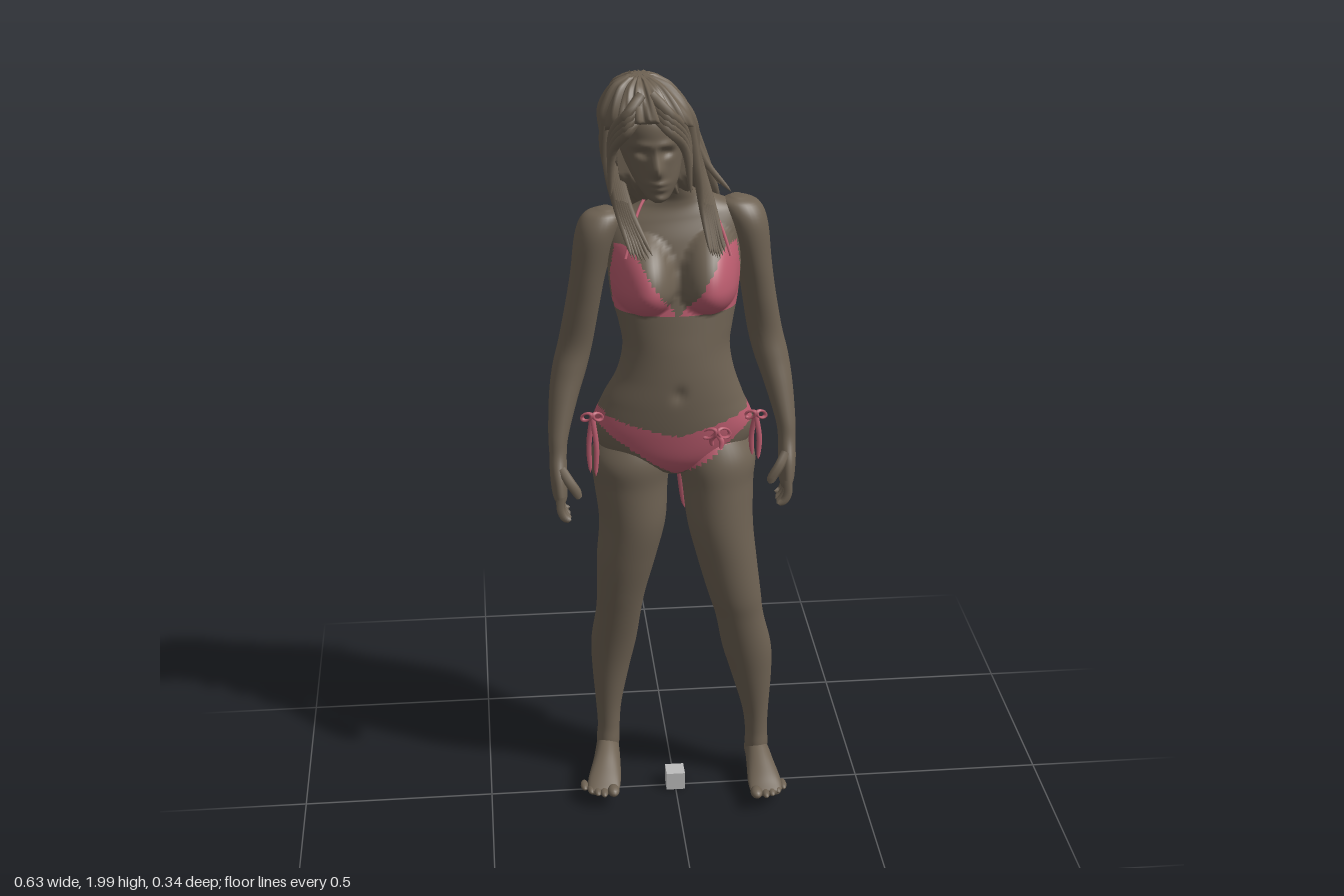
import * as THREE from 'three';

const skin = new THREE.MeshStandardMaterial({ color: 0x6e6253 });
skin.name = 'brown';
const pink = new THREE.MeshStandardMaterial({ color: 0xba5c6e });
pink.name = 'pink';
const grey = new THREE.MeshStandardMaterial({ color: 0xbcbcbc });
grey.name = 'grey';

const V = (x, y, z) => new THREE.Vector3(x, y, z);
const bump = (x, y, cx, cy, rx, ry) => Math.exp(-(((x - cx) / rx) ** 2) - (((y - cy) / ry) ** 2));
const step = THREE.MathUtils.smoothstep;
let seed = 7;
const rand = () => (seed = (seed * 16807) % 2147483647) / 2147483647;

// Closed skin over elliptical rings [x, y, z, halfWidth, halfDepth].
// rule moves vertices, isPink chooses the swimwear faces.
function loft(name, rings, { rows = 60, seg = 40, axis = 'y', rule, isPink } = {}) {
  const mid = new THREE.CatmullRomCurve3(rings.map(r => V(r[0], r[1], r[2])), false, 'catmullrom');
  const size = new THREE.CatmullRomCurve3(rings.map(r => V(r[3], r[4], 0)), false, 'catmullrom');
  const pts = [], tris = [];
  for (let i = 0; i <= rows + 2; i++) {
    const t = Math.min(Math.max((i - 1) / rows, 0), 1);
    const c = mid.getPoint(t), s = size.getPoint(t);
    const k = i === 0 || i === rows + 2 ? 0.001 : 1;
    for (let j = 0; j < seg; j++) {
      const a = (j / seg) * Math.PI * 2, u = Math.cos(a), w = Math.sin(a);
      const p = c.clone();
      p.x += u * s.x * k;
      p[axis === 'y' ? 'z' : 'y'] += w * s.y * k;
      if (rule) rule(p, w, a);
      pts.push(p);
      if (i <= rows + 1) {
        const q = i * seg + j, r = i * seg + (j + 1) % seg;
        tris.push([q, q + seg, r], [r, q + seg, r + seg]);
      }
    }
  }
  // Turn the faces outward whichever way the rings run
  let volume = 0;
  for (const [a, b, c] of tris) volume += pts[a].dot(pts[b].clone().cross(pts[c]));
  if (volume < 0) tris.forEach(t => t.reverse());
  const parts = [[], []];
  for (const t of tris) {
    const m = V(0, 0, 0);
    t.forEach(k => m.addScaledVector(pts[k], 1 / 3));
    parts[isPink && isPink(m) ? 1 : 0].push(...t);
  }
  const g = new THREE.BufferGeometry().setFromPoints(pts);
  g.setIndex([...parts[0], ...parts[1]]);
  g.addGroup(0, parts[0].length, 0);
  g.addGroup(parts[0].length, parts[1].length, 1);
  g.computeVertexNormals();
  const mesh = new THREE.Mesh(g, isPink ? [skin, pink] : skin);
  mesh.name = name;
  return mesh;
}

// Tapered tube for hair locks, fingers and strings
function strand(name, points, r, mat = skin, power = 2, n = 12) {
  const curve = new THREE.CatmullRomCurve3(points.map(p => V(...p)));
  const g = new THREE.TubeGeometry(curve, n, r, 7, false), pos = g.attributes.position;
  for (let i = 0; i < pos.count; i++) {
    const u = Math.floor(i / 8) / n, c = curve.getPointAt(u);
    const p = V(0, 0, 0).fromBufferAttribute(pos, i).lerp(c, 1 - Math.sqrt(1 - u ** power));
    pos.setXYZ(i, p.x, p.y, p.z);
  }
  const mesh = new THREE.Mesh(g, mat);
  mesh.name = name;
  return mesh;
}

// Swimwear areas
function briefs(p) {
  const ax = Math.abs(p.x);
  if (p.z < -0.04) return p.y < 1.155 && p.y > 0.95 + Math.max(0, p.z + 0.13) * 1.9;
  if (ax > 0.18 && Math.abs(p.y - 1.125) < 0.012) return true;
  return p.y < 1.085 + 0.25 * ax && p.y > 0.955 + 0.75 * ax;
}
function swimwear(p) {
  if (p.y < 1.2) return briefs(p);
  if (Math.abs(p.y - 1.42) < 0.006 && p.z < 0.06) return true;
  const t = (p.y - 1.4) / 0.17;
  return p.z > 0 && t > 0 && t < 1 && Math.abs(Math.abs(p.x) - 0.09 - 0.04 * t) < 0.066 * (1 - t) + 0.02;
}

// Bust, buttocks, spine and the shoulder slope
function shapeTorso(p, w) {
  const { x, y } = p;
  if (w > 0) {
    for (const s of [-1, 1]) {
      const d = Math.hypot((x - s * 0.085) / 0.078, (y - 1.475) / (y < 1.475 ? 0.075 : 0.13));
      p.z += 0.078 * Math.max(0, 1 - d * d) ** 0.8 * Math.min(1, w * 2);
    }
    p.z -= 0.008 * bump(x, y, 0, 1.2, 0.015, 0.02) * w;
  } else {
    const f = Math.min(1, -w * 1.6);
    for (const s of [-1, 1]) p.z -= 0.046 * f * bump(x, y, s * 0.085, 1.045, 0.075, 0.075);
    p.z += f * (0.02 * bump(x, y, 0, 1.02, 0.014, 0.1) + 0.012 * bump(x, y, 0, 1.35, 0.025, 0.17));
  }
  p.y += 0.1 * x * step(y, 1.5, 1.64);
}

function makeArm(s, dx, dy) {
  const g = new THREE.Group();
  g.name = s > 0 ? 'leftArm' : 'rightArm';
  const m = ([x, y, z, ...rest]) => [s * (x + dx), y + dy, z, ...rest];
  g.add(loft('armAndPalm', [
    [0.155, 1.668, -0.037, 0.015, 0.02], [0.163, 1.65, -0.037, 0.048, 0.048], [0.18, 1.6, -0.037, 0.052, 0.062],
    [0.2, 1.5, -0.045, 0.044, 0.057], [0.215, 1.41, -0.058, 0.043, 0.052], [0.233, 1.31, -0.07, 0.044, 0.045],
    [0.25, 1.24, -0.066, 0.044, 0.047], [0.267, 1.17, -0.046, 0.037, 0.042], [0.283, 1.08, -0.015, 0.026, 0.032],
    [0.286, 1.03, 0, 0.022, 0.028], [0.286, 0.98, 0.012, 0.022, 0.04], [0.284, 0.93, 0.02, 0.019, 0.043],
    [0.282, 0.91, 0.022, 0.012, 0.036]].map(m), { rows: 70, seg: 28 }));
  for (let i = 0; i < 4; i++) {
    const z = 0.052 - i * 0.021, end = [0.868, 0.86, 0.864, 0.876][i];
    g.add(strand('finger', [[0.283, 0.935, z], [0.284, 0.898, z + 0.003], [0.274, 0.877, z + 0.004], [0.258, end, z + 0.002]].map(m), 0.0115, skin, 8));
  }
  g.add(strand('thumb', [[0.28, 1.0, 0.03], [0.26, 0.972, 0.05], [0.244, 0.947, 0.053], [0.236, 0.925, 0.05]].map(m), 0.0135, skin, 8));
  return g;
}

function makeLeg(name, rings, foot, toes) {
  const g = new THREE.Group();
  g.name = name;
  g.add(loft('leg', rings, { rows: 100, seg: 40, isPink: briefs }));
  // The sole is flat
  g.add(loft('foot', foot, { rows: 30, seg: 28, axis: 'z', rule: p => { p.y = Math.max(p.y, 0.036); } }));
  const [bx, bz, s] = toes;
  for (let i = 0; i < 5; i++) {
    const toe = new THREE.Mesh(new THREE.SphereGeometry(1, 14, 10), skin);
    toe.name = 'toe';
    const r = i ? 0.0105 : 0.016;
    toe.scale.set(r, r * 0.85, 0.024);
    toe.position.set(bx + s * (i ? 0.008 + i * 0.017 : 0), 0.036 + r * 0.85, bz - 0.024 - i * i * 0.0025);
    g.add(toe);
  }
  return g;
}

// Knotted string with two loops and two tails
function bow(name, x, y, z, r, drop) {
  const g = new THREE.Group();
  g.name = name;
  for (const s of [-1, 1]) {
    const loop = new THREE.Mesh(new THREE.TorusGeometry(r, 0.0055, 7, 16), pink);
    loop.name = 'loop';
    loop.scale.y = 0.6;
    loop.rotation.set(0, s * 0.5, s * -0.5);
    loop.position.set(x + s * r * 0.9, y, z);
    g.add(loop, strand('tail', [[x, y, z], [x + s * r * 0.6, y - drop * 0.5, z + s * 0.008], [x + s * r * 0.4, y - drop, z + s * 0.012]], 0.007, pink, 6));
  }
  return g;
}

function makeHead() {
  const g = new THREE.Group();
  g.name = 'head';
  // Nose, brow, eye sockets, lips and chin
  const face = (p, w) => {
    if (w <= 0) return;
    const x = p.x + 0.055 + (p.y - 1.78) * 0.12, y = p.y;
    p.z += w * (0.026 * bump(x, y, 0, 1.788, 0.013, 0.02) + 0.012 * bump(x, y, 0, 1.815, 0.01, 0.025)
      + 0.009 * bump(x, y, 0, 1.752, 0.022, 0.008) + 0.007 * bump(x, y, 0, 1.737, 0.018, 0.007)
      + 0.008 * bump(x, y, 0, 1.712, 0.02, 0.01) - 0.015 * bump(Math.abs(x), y, 0.03, 1.828, 0.018, 0.012)
      + 0.006 * bump(Math.abs(x), y, 0.028, 1.85, 0.025, 0.01));
  };
  g.add(loft('face', [
    [-0.05, 1.698, 0.09, 0.012, 0.015], [-0.05, 1.712, 0.085, 0.03, 0.034], [-0.053, 1.75, 0.07, 0.053, 0.06],
    [-0.06, 1.8, 0.058, 0.07, 0.078], [-0.067, 1.85, 0.052, 0.08, 0.095], [-0.074, 1.9, 0.045, 0.082, 0.103],
    [-0.08, 1.95, 0.04, 0.06, 0.08]], { rows: 80, seg: 64, rule: face }));
  // Hair mass, ridged, and cut back around the face
  const ridges = (p, w, a) => {
    const k = 0.006 * Math.sin(a * 17 + p.y * 14) + 0.004 * Math.sin(a * 29 - p.y * 20);
    p.x += Math.cos(a) * k;
    p.z += w * k;
    p.z = Math.min(p.z, 0.065 + 0.11 * step(p.y, 1.855, 1.925));
  };
  g.add(loft('hair', [
    [-0.088, 1.994, 0.045, 0.025, 0.035], [-0.085, 1.972, 0.044, 0.065, 0.08], [-0.077, 1.92, 0.04, 0.1, 0.118],
    [-0.069, 1.87, 0.034, 0.111, 0.122], [-0.06, 1.8, 0.01, 0.113, 0.11], [-0.045, 1.72, -0.03, 0.113, 0.088],
    [-0.01, 1.64, -0.095, 0.1, 0.045], [0, 1.56, -0.128, 0.09, 0.026], [0, 1.51, -0.14, 0.07, 0.014]],
    { rows: 70, seg: 110, rule: ridges }));
  const lock = (pts, r) => g.add(strand('hairLock', pts, r, skin, 2, 16));
  // Back locks
  for (let i = 0; i < 22; i++) {
    const x = -0.12 + i * 0.0115, e = rand();
    lock([[x * 0.8 - 0.05, 1.84, -0.06], [x * 0.9 - 0.01, 1.69, -0.115 + x * x * 3], [x, 1.6, -0.14 + x * x],
      [x + (rand() - 0.5) * 0.04, 1.48 + e * 0.09, -0.15 - rand() * 0.03]], 0.012);
  }
  // Locks falling in front of both shoulders
  for (let i = 0; i < 7; i++) {
    const k = i / 6, j = rand() * 0.03;
    lock([[-0.165 + k * 0.02, 1.88, 0.07 - k * 0.05], [-0.168 + k * 0.025, 1.78, 0.075 - k * 0.04],
      [-0.145 + k * 0.03, 1.67, 0.065], [-0.115 + k * 0.05, 1.54 + j, 0.115]], 0.012);
    lock([[0.028, 1.88, 0.08 - k * 0.06], [0.045 + k * 0.01, 1.77, 0.07 - k * 0.05],
      [0.06 + k * 0.025, 1.67, 0.055 - k * 0.01], [0.075 + k * 0.035, 1.54 + j, 0.108]], 0.012);
  }
  for (let i = 0; i < 3; i++) lock([[0.03, 1.86, 0.02 - i * 0.03], [0.07, 1.77, 0.01 - i * 0.03], [0.135 - i * 0.01, 1.69, 0.01 - i * 0.03]], 0.01);
  // Parted locks sweeping round the forehead
  for (const s of [-1, 1]) for (let i = 0; i < 4; i++) {
    const y = 1.93 - i * 0.014;
    lock([[-0.08 + s * 0.012, y + 0.035, 0.125], [-0.077 + s * 0.045, y, 0.147], [-0.072 + s * 0.085, y - 0.06, 0.105],
      [-0.066 + s * 0.096, 1.74 - i * 0.01, 0.08]], 0.013);
  }
  return g;
}

export function createModel() {
  const model = new THREE.Group();
  model.name = 'swimmer';
  model.add(loft('torso', [
    [0, 0.945, -0.03, 0.04, 0.04], [0, 0.97, -0.025, 0.1, 0.075], [-0.003, 1.01, -0.02, 0.175, 0.098],
    [-0.005, 1.08, -0.015, 0.206, 0.11], [-0.006, 1.16, -0.006, 0.178, 0.11], [0, 1.23, 0.002, 0.148, 0.103],
    [0.002, 1.3, 0.002, 0.134, 0.098], [0.002, 1.36, -0.005, 0.142, 0.097], [0, 1.43, -0.018, 0.158, 0.1],
    [0, 1.51, -0.028, 0.166, 0.098], [0, 1.58, -0.035, 0.172, 0.087], [0.002, 1.63, -0.038, 0.155, 0.068],
    [0.005, 1.665, -0.036, 0.09, 0.055], [0, 1.7, -0.022, 0.052, 0.05], [-0.035, 1.79, 0.015, 0.046, 0.05]],
    { rows: 160, seg: 100, rule: shapeTorso, isPink: swimwear }));
  model.add(makeHead(), makeArm(1, 0, 0), makeArm(-1, 0.012, -0.022));
  model.add(makeLeg('leftLeg', [
    [0.09, 1.09, -0.02, 0.06, 0.07], [0.104, 1, -0.017, 0.1, 0.104], [0.11, 0.92, -0.01, 0.092, 0.104],
    [0.116, 0.81, 0.005, 0.085, 0.094], [0.135, 0.7, 0.012, 0.077, 0.08], [0.155, 0.6, 0.015, 0.069, 0.066],
    [0.17, 0.53, 0.008, 0.063, 0.058], [0.194, 0.42, -0.02, 0.065, 0.065], [0.209, 0.33, -0.032, 0.054, 0.058],
    [0.222, 0.22, -0.037, 0.036, 0.042], [0.226, 0.15, -0.038, 0.03, 0.036], [0.228, 0.1, -0.042, 0.031, 0.042],
    [0.228, 0.05, -0.048, 0.026, 0.038]],
  [[0.228, 0.06, -0.098, 0.012, 0.014], [0.228, 0.065, -0.08, 0.028, 0.032], [0.229, 0.075, -0.03, 0.032, 0.042],
    [0.231, 0.068, 0.02, 0.037, 0.037], [0.234, 0.055, 0.08, 0.044, 0.024], [0.235, 0.046, 0.115, 0.043, 0.014],
    [0.235, 0.043, 0.132, 0.036, 0.008]], [0.207, 0.157, 1]));
  model.add(makeLeg('rightLeg', [
    [-0.09, 1.09, -0.035, 0.06, 0.07], [-0.11, 1, -0.03, 0.103, 0.104], [-0.112, 0.92, -0.028, 0.095, 0.1],
    [-0.109, 0.81, -0.025, 0.086, 0.093], [-0.125, 0.7, -0.03, 0.077, 0.08], [-0.138, 0.6, -0.04, 0.065, 0.065],
    [-0.145, 0.53, -0.053, 0.06, 0.058], [-0.157, 0.42, -0.088, 0.06, 0.062], [-0.165, 0.33, -0.1, 0.05, 0.055],
    [-0.172, 0.22, -0.1, 0.035, 0.041], [-0.173, 0.15, -0.099, 0.03, 0.036], [-0.175, 0.1, -0.1, 0.031, 0.041],
    [-0.176, 0.05, -0.103, 0.026, 0.038]],
  [[-0.174, 0.06, -0.15, 0.012, 0.014], [-0.175, 0.065, -0.132, 0.028, 0.032], [-0.178, 0.075, -0.085, 0.032, 0.042],
    [-0.184, 0.068, -0.03, 0.037, 0.037], [-0.194, 0.055, 0.03, 0.044, 0.024], [-0.199, 0.046, 0.068, 0.043, 0.014],
    [-0.202, 0.043, 0.085, 0.036, 0.008]], [-0.174, 0.112, -1]));
  // Ties of the swimwear
  model.add(bow('backTie', 0.01, 1.425, -0.128, 0.022, 0.06), bow('frontTie', 0.095, 1.09, 0.092, 0.02, 0.04));
  model.add(bow('leftHipTie', 0.2, 1.115, 0.04, 0.015, 0.12), bow('rightHipTie', -0.212, 1.125, 0.04, 0.015, 0.16));
  for (const d of [0, 0.014])
    model.add(strand('hangingString', [[0.015 + d, 0.98, -0.085], [0.024 + d, 0.9, -0.088 - d], [0.034 + d * 0.5, 0.8 + d, -0.085]], 0.011, pink, 6));
  for (const s of [-1, 1])
    model.add(strand('neckString', [[s * 0.128, 1.55, 0.075], [s * 0.105, 1.62, 0.035], [s * 0.07, 1.675, -0.02], [s * 0.02, 1.69, -0.075]], 0.004, pink, 8));
  // Small cube on the ground between the feet
  const cube = new THREE.Mesh(new THREE.BoxGeometry(0.05, 0.05, 0.05), grey);
  cube.name = 'groundCube';
  cube.position.y = 0.026;
  model.add(cube);
  return model;
}
